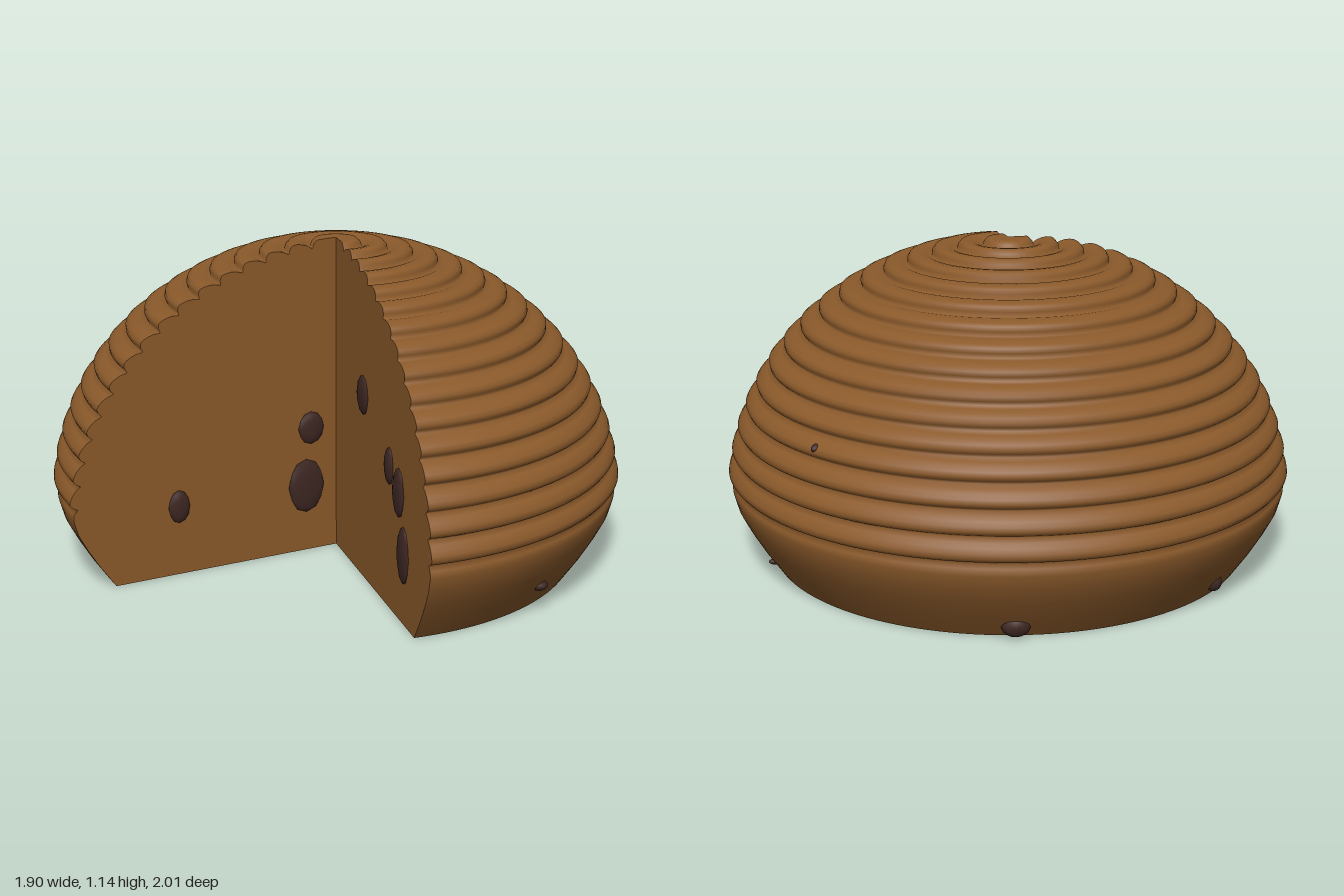
import * as THREE from 'three';

const CENTER_X = -0.055;
const START = THREE.MathUtils.degToRad(-36.5); // lathe angle of one cut face
const SWEEP = THREE.MathUtils.degToRad(280);   // the rest is the missing wedge
const RINGS = 16;
const STEP = THREE.MathUtils.degToRad(5.3);

// Half section: smooth belly, then overlapping rounded ridges up to the crown
function makeProfile() {
  const bump = [[0, 0], [0.2, 0.5], [0.4, 0.8], [0.6, 0.97], [0.78, 1], [0.92, 0.6]];
  const down = [];
  for (let k = 0; k < RINGS; k++) {
    for (const [t, height] of bump) {
      const a = (k + t) * STEP;
      const lift = k === 0 ? Math.max(height, t < 0.7 ? 1 : 0) : height;
      const s = 0.98 + 0.03 * lift;
      down.push(new THREE.Vector2(s * Math.sin(a), 0.22 + 0.91 * s * Math.cos(a)));
    }
  }
  const belly = [[0.976, 0.3], [0.99, 0.285], [0.992, 0.26], [0.978, 0.21],
    [0.947, 0.15], [0.905, 0.08], [0.85, 0]];
  for (const [r, y] of belly) down.push(new THREE.Vector2(r, y));
  return down.reverse();
}

export function createModel() {
  const group = new THREE.Group();
  group.name = 'cutRidgedDome';

  const crust = new THREE.MeshStandardMaterial({ color: 0x8b5a2b, side: THREE.DoubleSide });
  crust.name = 'brown crust';
  const dark = new THREE.MeshStandardMaterial({ color: 0x3e2723 });
  dark.name = 'dark chip';

  const body = new THREE.Group();
  body.name = 'body';
  body.position.x = CENTER_X;
  group.add(body);

  // Open-bottomed ridged shell
  const profile = makeProfile();
  const shell = new THREE.Mesh(new THREE.LatheGeometry(profile, 112, START, SWEEP), crust);
  shell.name = 'ridgedShell';
  body.add(shell);

  // Flat walls on both sides of the missing wedge
  const section = new THREE.ShapeGeometry(new THREE.Shape([new THREE.Vector2(0, 0), ...profile]));
  const walls = [START, START + SWEEP].map((angle, i) => {
    const wall = new THREE.Group();
    wall.name = i ? 'backCut' : 'frontCut';
    wall.rotation.y = angle - Math.PI / 2;
    const face = new THREE.Mesh(section, crust);
    face.name = wall.name + 'Face';
    wall.add(face);
    body.add(wall);
    return wall;
  });

  // Chips: faceted lumps set into the walls and the shell
  const lump = new THREE.IcosahedronGeometry(1, 1);
  function addChip(parent, position, size, name, turn = 0) {
    const chip = new THREE.Mesh(lump, dark);
    chip.name = name;
    chip.position.set(...position);
    chip.scale.set(...size);
    chip.rotation.y = turn;
    parent.add(chip);
  }

  // wall, radius, height, half width, half height
  const wallChips = [
    [0, 0.59, 0.5, 0.04, 0.065], [0, 0.685, 0.44, 0.052, 0.085],
    [0, 0.735, 0.24, 0.053, 0.1], [0, 0.31, 0.66, 0.055, 0.07],
    [1, 0.12, 0.245, 0.07, 0.1], [1, 0.61, 0.25, 0.04, 0.06], [1, 0.1, 0.46, 0.05, 0.06],
  ];
  for (const [w, r, y, sx, sy] of wallChips) {
    addChip(walls[w], [r, y, 0], [sx, sy, 0.015], 'wallChip');
  }

  // angle around the shell, radius, height, half width, half height
  const shellChips = [
    [-0.105, 0.908, 0.1, 0.03, 0.02], [1.506, 0.91, 0.58, 0.016, 0.016],
    [2.28, 0.875, 0.045, 0.05, 0.04], [3.165, 0.88, 0.06, 0.03, 0.035],
    [1.04, 0.868, 0.04, 0.015, 0.012],
  ];
  for (const [a, r, y, sx, sy] of shellChips) {
    addChip(body, [r * Math.sin(a), y, r * Math.cos(a)], [sx, sy, 0.03], 'shellChip', a);
  }
  return group;
}
